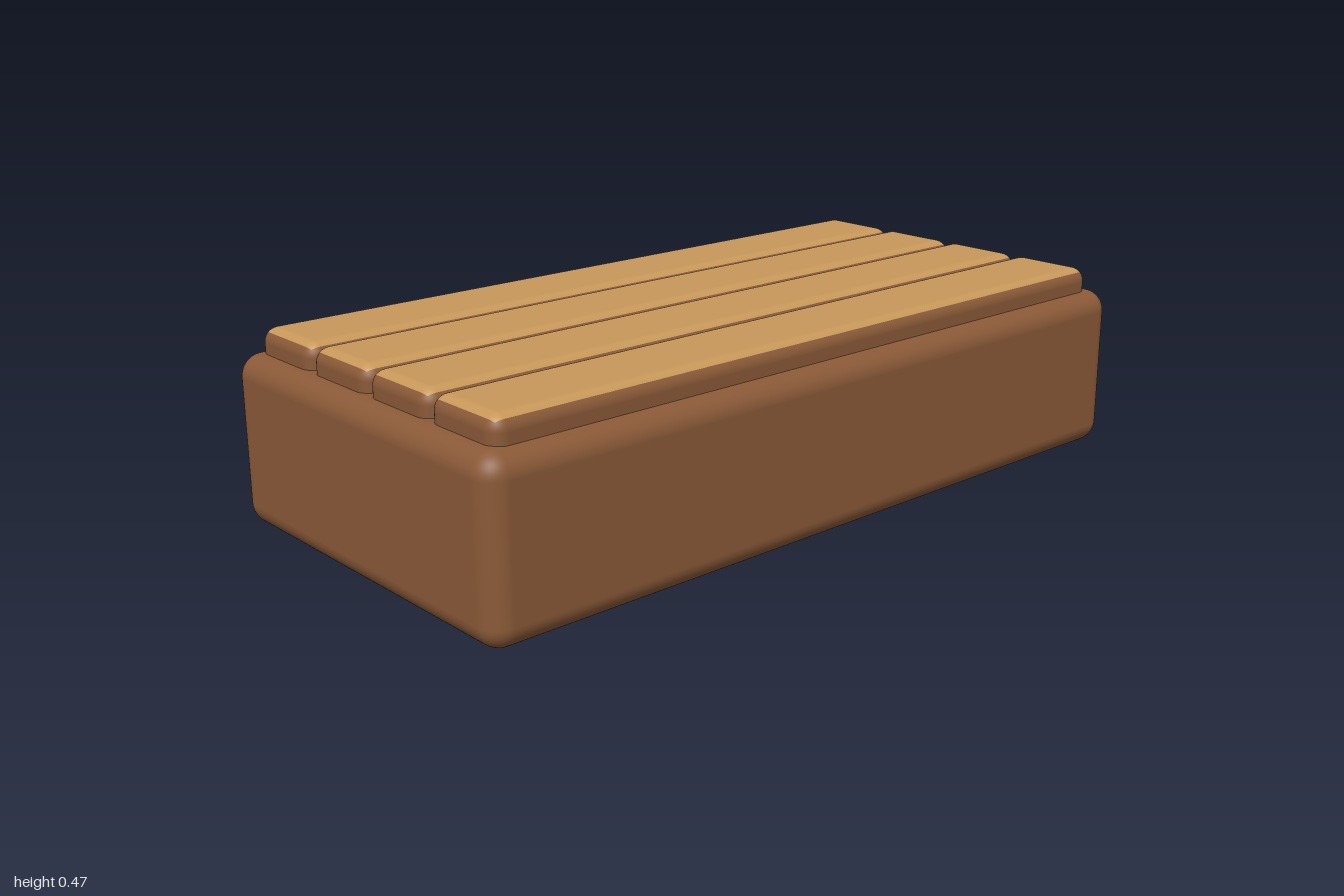
import * as THREE from 'three';
import { RoundedBoxGeometry } from 'three/addons/geometries/RoundedBoxGeometry.js';

export function createModel() {
  const model = new THREE.Group();
  model.name = 'plankToppedBlock';

  const brown = new THREE.MeshStandardMaterial({ color: 0x8b5a38 });
  brown.name = 'brown wood';
  const tan = new THREE.MeshStandardMaterial({ color: 0xc8985a });
  tan.name = 'tan wood';

  // Solid rounded base
  const baseHeight = 0.415;
  const base = new THREE.Mesh(new RoundedBoxGeometry(1, baseHeight, 2, 6, 0.055), brown);
  base.name = 'base';
  base.position.y = baseHeight / 2;
  model.add(base);

  // Four planks sunk into the base; only the upward face of each is tan
  const top = 0.475, height = 0.13, pitch = 0.23;
  const plankGeometry = new RoundedBoxGeometry(0.226, height, 1.9, 5, 0.035);
  const plankMaterials = [brown, brown, tan, brown, brown, brown];
  for (let i = 0; i < 4; i++) {
    const plank = new THREE.Mesh(plankGeometry, plankMaterials);
    plank.name = `plank${i + 1}`;
    plank.position.set((i - 1.5) * pitch, top - height / 2, 0);
    model.add(plank);
  }

  return model;
}
